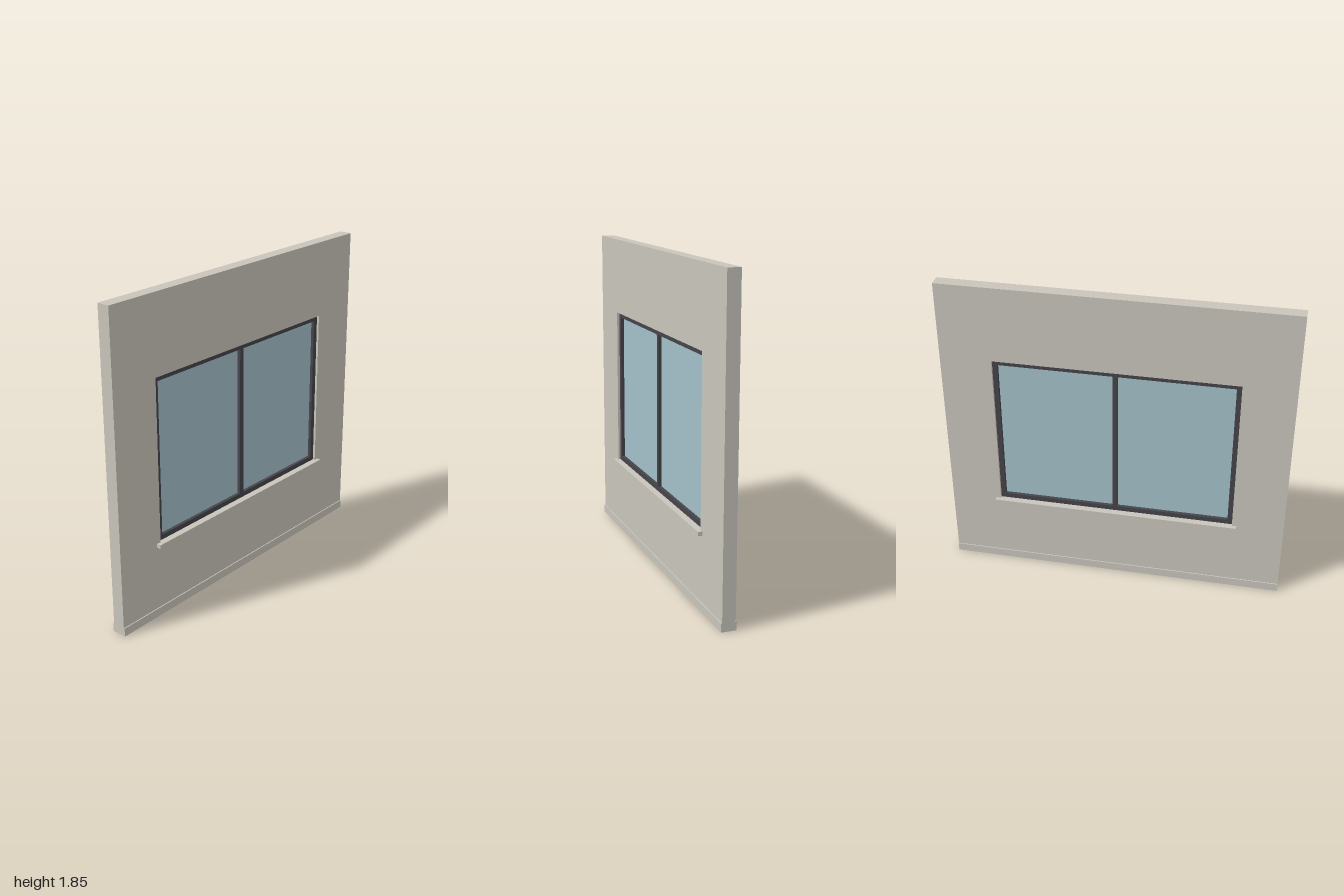
import * as THREE from 'three';

export function createModel() {
  const model = new THREE.Group();
  model.name = 'wallWithWindow';

  const mat = (name, color) => {
    const m = new THREE.MeshStandardMaterial({ color });
    m.name = name;
    return m;
  };
  const plaster = mat('plaster', 0xc9c5bc);
  const darkFrame = mat('dark frame', 0x45454a);
  const glass = mat('glass', 0xa3c1c9);

  // Main dimensions
  const height = 1.85, wallHalf = 0.0375;
  const left = -0.7, right = 0.7, bottom = 0.45, top = 1.4;
  const bar = 0.029, frameHalf = 0.023;

  const rectPath = (path, x0, y0, x1, y1) =>
    path.moveTo(x0, y0).lineTo(x1, y0).lineTo(x1, y1).lineTo(x0, y1).closePath();

  const add = (name, geometry, material, x = 0, y = 0, z = 0) => {
    const mesh = new THREE.Mesh(geometry, material);
    mesh.name = name;
    mesh.position.set(x, y, z);
    model.add(mesh);
  };

  // Extruded rectangular plate with rectangular holes, centred on z = 0
  const plate = (outer, holes, half) => {
    const shape = new THREE.Shape();
    rectPath(shape, ...outer);
    for (const h of holes) {
      const hole = new THREE.Path();
      rectPath(hole, ...h);
      shape.holes.push(hole);
    }
    return new THREE.ExtrudeGeometry(shape, { depth: half * 2, bevelEnabled: false })
      .translate(0, 0, -half);
  };

  // Wall with window opening
  add('wall', plate([-1, 0, 1, height], [[left, bottom, right, top]], wallHalf), plaster);

  // Window frame with central mullion
  const panes = [
    [left + bar, bottom + bar, -bar / 2, top - bar],
    [bar / 2, bottom + bar, right - bar, top - bar],
  ];
  add('windowFrame', plate([left, bottom, right, top], panes, frameHalf), darkFrame);

  // Glass panes
  panes.forEach(([x0, y0, x1, y1], i) =>
    add(i ? 'leftPane' : 'rightPane', new THREE.BoxGeometry(x1 - x0, y1 - y0, 0.008), glass,
      (x0 + x1) / 2, (y0 + y1) / 2));

  // Sills and base plinths on both faces
  for (const [side, s] of [['front', 1], ['back', -1]]) {
    add(side + 'Sill', new THREE.BoxGeometry(1.455, 0.023, 0.025), plaster,
      0, bottom - 0.0115, s * (wallHalf + 0.0125));
    add(side + 'Plinth', new THREE.BoxGeometry(2, 0.05, 0.006), plaster,
      0, 0.025, s * (wallHalf + 0.003));
  }

  return model;
}
